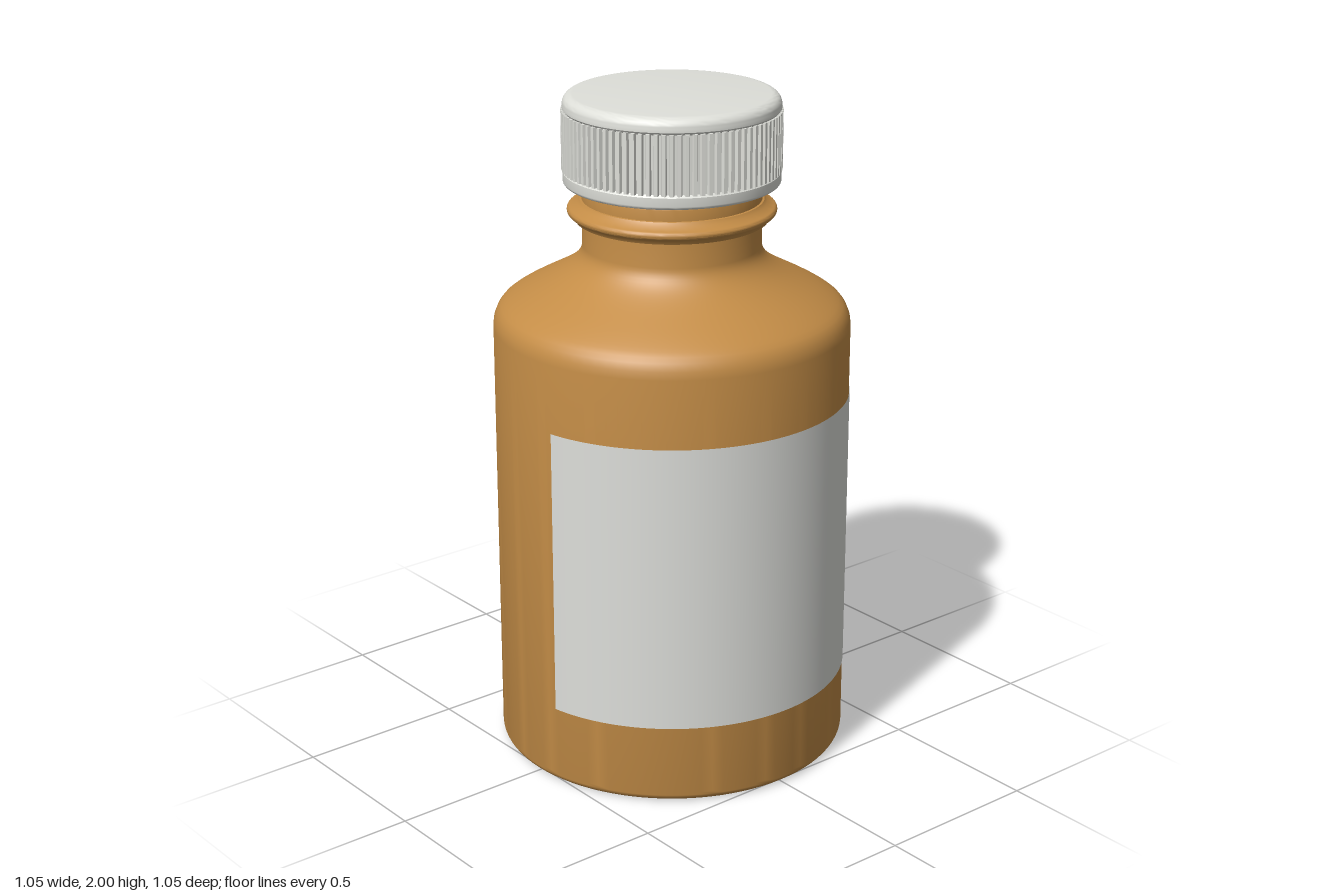
import * as THREE from 'three';
import { toCreasedNormals } from 'three/addons/utils/BufferGeometryUtils.js';

const SEGMENTS = 96;

// Revolved profile, smooth except at hard edges
function lathe(points, material, name) {
  const g = new THREE.LatheGeometry(points, SEGMENTS);
  const mesh = new THREE.Mesh(toCreasedNormals(g, 0.6), material);
  mesh.name = name;
  return mesh;
}

// Points along a rounded corner, angles in degrees
function arc(cx, cy, r, from, to, steps = 6) {
  return Array.from({ length: steps + 1 }, (_, i) => {
    const a = THREE.MathUtils.degToRad(from + (to - from) * i / steps);
    return new THREE.Vector2(cx + r * Math.cos(a), cy + r * Math.sin(a));
  });
}

const v = (x, y) => new THREE.Vector2(x, y);

export function createModel() {
  const amber = new THREE.MeshStandardMaterial({ color: 0xc48d47 });
  amber.name = 'amber';
  const white = new THREE.MeshStandardMaterial({ color: 0xdedfd9 });
  white.name = 'off white';
  const paper = new THREE.MeshStandardMaterial({ color: 0xdddeda, side: THREE.DoubleSide });
  paper.name = 'label paper';

  const model = new THREE.Group();
  model.name = 'bottle';

  // Body, shoulder and neck in one profile
  const shoulder = new THREE.CubicBezierCurve(
    v(0.488, 1.385), v(0.40, 1.445), v(0.265, 1.485), v(0.262, 1.555));
  model.add(lathe([
    v(0, 0),
    ...arc(0.495, 0.03, 0.03, -90, 0),
    v(0.525, 1.315),
    v(0.522, 1.338), v(0.513, 1.36), v(0.502, 1.374),
    ...shoulder.getPoints(20),
    v(0.262, 1.69),
    ...arc(0.25, 1.725, 0.013, 0, 90, 4),
    v(0.235, 1.738), v(0.235, 1.94), v(0, 1.94),
  ], amber, 'glassBody'));

  // Collar ring below the cap
  model.add(lathe([
    v(0.255, 1.628), v(0.282, 1.632), v(0.288, 1.643),
    ...arc(0.292, 1.66, 0.013, -80, 80, 8),
    v(0.275, 1.682), v(0.268, 1.692), v(0.255, 1.694),
  ], amber, 'neckRing'));

  // Label wrapped round the front
  const wrap = THREE.MathUtils.degToRad(160);
  const label = new THREE.Mesh(
    new THREE.CylinderGeometry(0.527, 0.527, 0.868, 64, 1, true, -wrap / 2, wrap), paper);
  label.position.y = 0.676;
  label.name = 'label';
  model.add(label);

  // Hollow cap shell
  const cap = new THREE.Group();
  cap.name = 'cap';
  cap.add(lathe([
    v(0, 1.95), v(0.28, 1.95), v(0.28, 1.74),
    ...arc(0.306, 1.75, 0.01, -90, 0, 4),
    v(0.316, 1.775), v(0.309, 1.783), v(0.309, 1.952), v(0.315, 1.96),
    ...arc(0.285, 1.97, 0.03, 0, 90, 8),
    v(0, 2.0),
  ], white, 'capShell'));

  // Grip ribs: a toothed ring round the shell
  const ribs = 90, step = Math.PI * 2 / ribs;
  const outline = [];
  for (let i = 0; i < ribs; i++) {
    for (const [t, r] of [[0, 0.308], [0.25, 0.308], [0.4, 0.319], [0.85, 0.319]]) {
      const a = (i + t) * step;
      outline.push(v(r * Math.cos(a), r * Math.sin(a)));
    }
  }
  const ring = new THREE.Shape(outline);
  ring.holes.push(new THREE.Path().absarc(0, 0, 0.295, 0, Math.PI * 2, true));
  const ribGeometry = new THREE.ExtrudeGeometry(ring, { depth: 0.175, bevelEnabled: false, curveSegments: 48 });
  ribGeometry.rotateX(-Math.PI / 2);
  const grip = new THREE.Mesh(ribGeometry, white);
  grip.position.y = 1.78;
  grip.name = 'capRibs';
  cap.add(grip);
  model.add(cap);

  return model;
}
